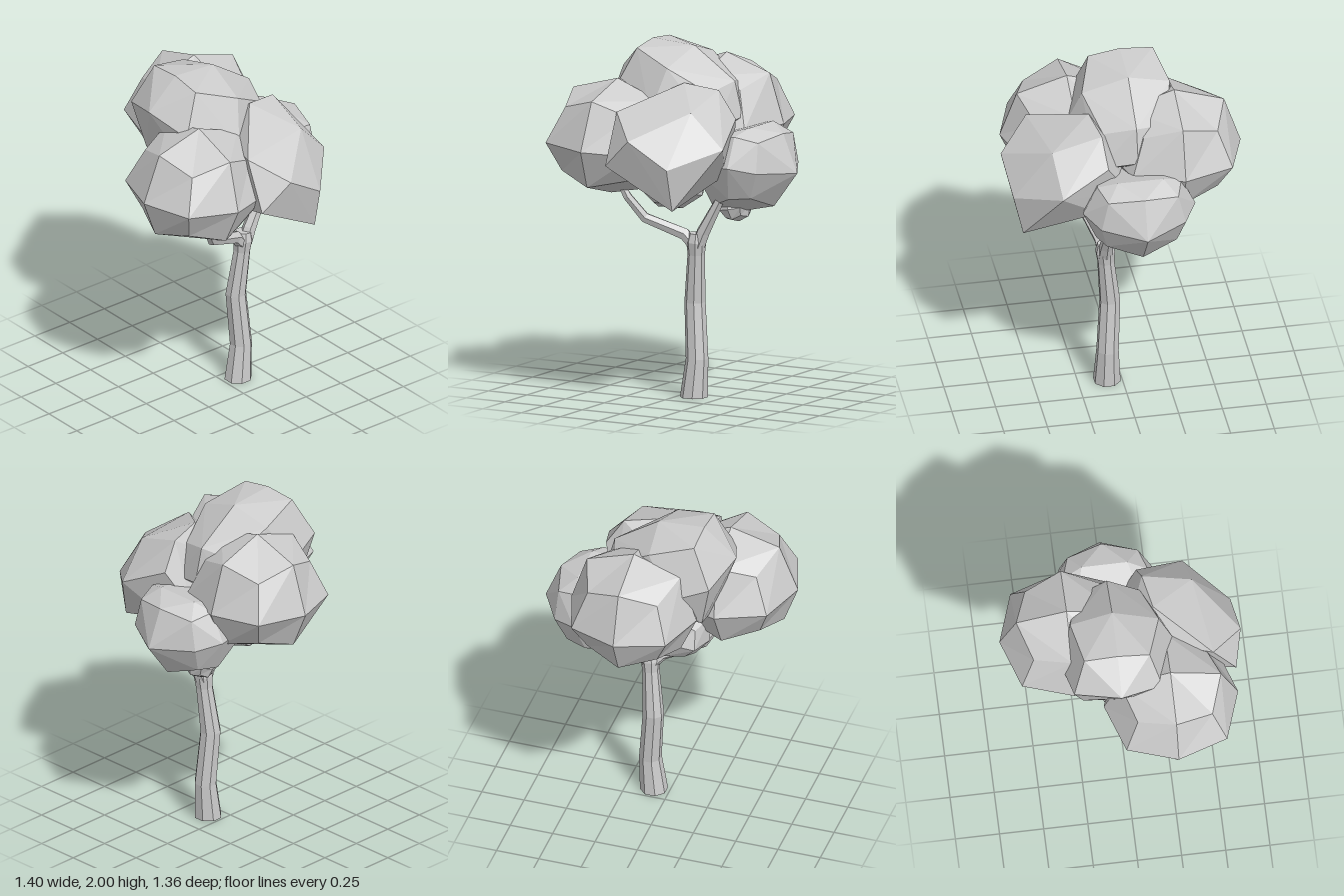
import * as THREE from 'three';
import { ConvexGeometry } from 'three/addons/geometries/ConvexGeometry.js';

const material = new THREE.MeshStandardMaterial({ color: 0xcccccc, flatShading: true });

function part(name, geometry) {
  const mesh = new THREE.Mesh(geometry, material);
  mesh.name = name;
  return mesh;
}

// Rounded-cube leaf clump: 2x2 quads per side, rolled about z, flatter below
function clump(name, centre, [rx, ry, rz], roll, squash) {
  const geo = new THREE.BoxGeometry(2, 2, 2, 2, 2, 2);
  const pos = geo.attributes.position;
  const p = new THREE.Vector3();
  for (let i = 0; i < pos.count; i++) {
    p.fromBufferAttribute(pos, i);
    const used = p.toArray().filter(v => Math.abs(v) > 0.5).length;
    p.multiplyScalar([0, 1, 0.75, 5 / 9][used]);
    if (p.y < 0) p.y *= squash;
    pos.setXYZ(i, p.x * rx, p.y * ry, p.z * rz);
  }
  geo.rotateZ(roll).translate(...centre);
  geo.computeVertexNormals();
  return part(name, geo);
}

// Irregular faceted leaf clump around a few corner points
function facetedClump(name, points) {
  return part(name, new ConvexGeometry(points.map(p => new THREE.Vector3(...p))));
}

// Tapered limb through [x, y, z, radius] stations, closed at both ends
function limb(name, stations, sides = 8) {
  const centres = stations.map(s => new THREE.Vector3(s[0], s[1], s[2]));
  const last = stations.length - 1;
  const up = new THREE.Vector3(0, 1, 0);
  const verts = [], index = [];
  stations.forEach((s, i) => {
    const dir = i === 0 ? up.clone()
      : centres[Math.min(i + 1, last)].clone().sub(centres[i - 1]).normalize();
    const turn = new THREE.Quaternion().setFromUnitVectors(up, dir);
    for (let j = 0; j < sides; j++) {
      const a = ((j + 0.5) / sides) * Math.PI * 2;
      const v = new THREE.Vector3(Math.sin(a) * s[3], 0, Math.cos(a) * s[3]);
      verts.push(...v.applyQuaternion(turn).add(centres[i]).toArray());
    }
  });
  for (let i = 0; i < last; i++) {
    for (let j = 0; j < sides; j++) {
      const k = (j + 1) % sides;
      const a = i * sides + j, b = i * sides + k;
      index.push(a, b, b + sides, a, b + sides, a + sides);
    }
  }
  for (let j = 1; j < sides - 1; j++) {
    index.push(0, j + 1, j);
    index.push(last * sides, last * sides + j, last * sides + j + 1);
  }
  const geo = new THREE.BufferGeometry();
  geo.setAttribute('position', new THREE.Float32BufferAttribute(verts, 3));
  geo.setIndex(index);
  geo.computeVertexNormals();
  return part(name, geo);
}

export function createModel() {
  const tree = new THREE.Group();
  tree.name = 'tree';

  // Trunk and its fork
  tree.add(
    limb('trunk', [
      [0.092, 0, 0.085, 0.079], [0.113, 0.22, 0.085, 0.064], [0.09, 0.54, 0.068, 0.06],
      [0.113, 0.82, 0.095, 0.049], [0.116, 0.89, 0.1, 0.057], [0.12, 0.94, 0.1, 0.045],
    ]),
    limb('rightHandBranch', [
      [0.11, 0.86, 0.1, 0.045], [0.05, 0.93, 0.115, 0.038], [-0.17, 1.015, 0.18, 0.031],
      [-0.25, 1.14, 0.24, 0.026], [-0.3, 1.25, 0.26, 0.02],
    ], 6),
    limb('leftHandBranch', [
      [0.125, 0.86, 0.1, 0.045], [0.162, 0.95, 0.1, 0.04],
      [0.26, 1.13, 0.095, 0.028], [0.33, 1.26, 0.07, 0.02],
    ], 6),
  );

  // Regular leaf clumps
  tree.add(
    clump('backClump', [0.085, 1.53, -0.3], [0.37, 0.38, 0.38], 0, 0.75),
    clump('rightHandClump', [-0.335, 1.44, 0.24], [0.375, 0.37, 0.38], -0.06, 0.78),
    clump('innerClump', [-0.07, 1.22, 0.02], [0.2, 0.19, 0.19], 0.3, 0.9),
    clump('smallClump', [0.29, 1.08, -0.05], [0.09, 0.09, 0.1], 0.2, 0.9),
  );

  // Top clump, leaning down towards the left-hand side
  tree.add(facetedClump('topClump', [
    [-0.25, 2, -0.05], [-0.25, 1.97, 0.13], [-0.25, 1.985, -0.24],
    [0.02, 1.98, -0.05], [-0.01, 1.885, 0.21], [0, 1.915, -0.29],
    [-0.44, 1.83, -0.05], [-0.36, 1.74, 0.19], [-0.36, 1.76, -0.31],
    [-0.07, 1.64, 0.3], [-0.15, 1.68, -0.36],
    [0.28, 1.8, -0.05], [0.22, 1.75, 0.13], [0.22, 1.77, -0.23],
    [0.33, 1.6, -0.05], [0.27, 1.55, 0.17], [0.27, 1.55, -0.27],
    [-0.3, 1.43, -0.05], [-0.3, 1.48, 0.17], [-0.3, 1.48, -0.25], [0, 1.4, -0.05],
  ]));

  // Front clump, tipped forwards
  tree.add(facetedClump('frontClump', [
    [-0.01, 1.68, 0.46], [0.27, 1.69, 0.43], [0.29, 1.78, 0.15], [0.09, 1.81, 0.19],
    [0, 1.54, 0.675], [0.235, 1.39, 0.645], [0.46, 1.49, 0.4], [0.24, 1.15, 0.59],
    [-0.17, 1.67, 0.5], [-0.17, 1.38, 0.63], [0.39, 1.62, 0.13], [0.34, 1.3, 0.17],
    [0.12, 1.2, 0.25], [-0.12, 1.31, 0.45], [0, 1.6, 0.02], [0.3, 1.4, 0],
  ]));

  // Left-hand clump, mirrored front to back: [x, y, distance from its middle]
  const half = [
    [0.69, 1.31, 0], [0.6, 1.53, 0], [0.46, 1.57, 0.13], [0.55, 1.5, 0.2],
    [0.56, 1.33, 0.24], [0.42, 1.36, 0.32], [0.42, 1.53, 0.24], [0.54, 1.11, 0],
    [0.5, 1.18, 0.2], [0.32, 1.06, 0], [0.38, 1.17, 0.24], [0.2, 1.1, 0.1],
    [0.2, 1.5, 0.2], [0.15, 1.35, 0.25],
  ];
  tree.add(facetedClump('leftHandClump', half.flatMap(([x, y, d]) =>
    (d ? [d, -d] : [0]).map(z => [x, y, z - 0.04]))));

  return tree;
}
